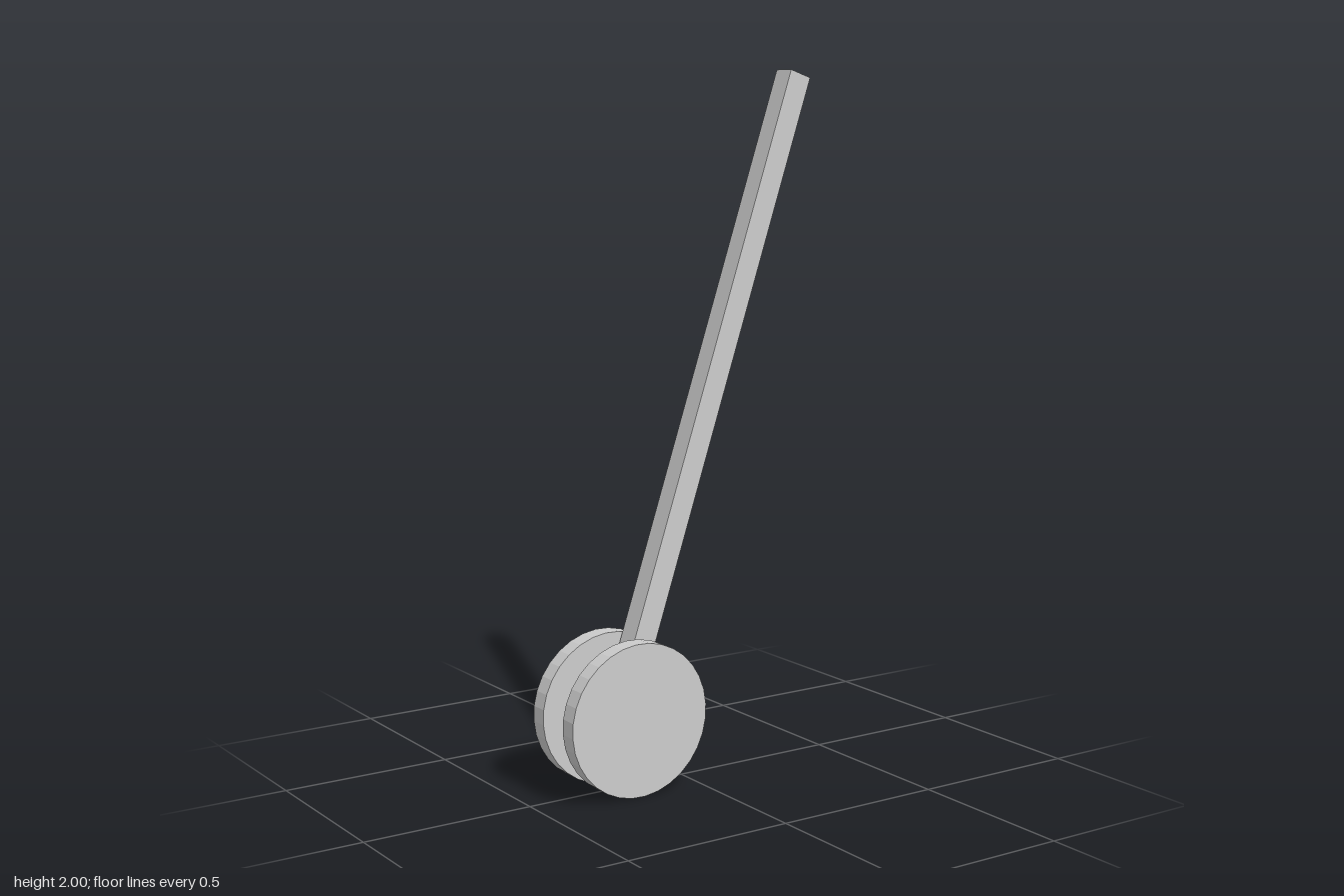
import * as THREE from 'three';

const TILT = -0.325; // lean of the whole assembly towards +x

export function createModel() {
  const model = new THREE.Group();
  const material = new THREE.MeshStandardMaterial({ color: 0xcccccc, flatShading: true });

  const add = (name, geometry, x, y, z) => {
    const mesh = new THREE.Mesh(geometry, material);
    mesh.name = name;
    mesh.position.set(x, y, z);
    mesh.rotation.z = TILT;
    model.add(mesh);
  };

  // Two faceted discs, one on each side of the shaft
  const disc = new THREE.CylinderGeometry(0.219, 0.219, 0.053, 32).rotateX(Math.PI / 2);
  add('frontDisc', disc, -0.205, 0.22, 0.0775);
  add('backDisc', disc, -0.205, 0.22, -0.0805);

  // Long square shaft reaching down between the discs
  add('shaft', new THREE.BoxGeometry(0.0705, 1.95, 0.068), 0.077, 1.065, -0.007);

  return model;
}
